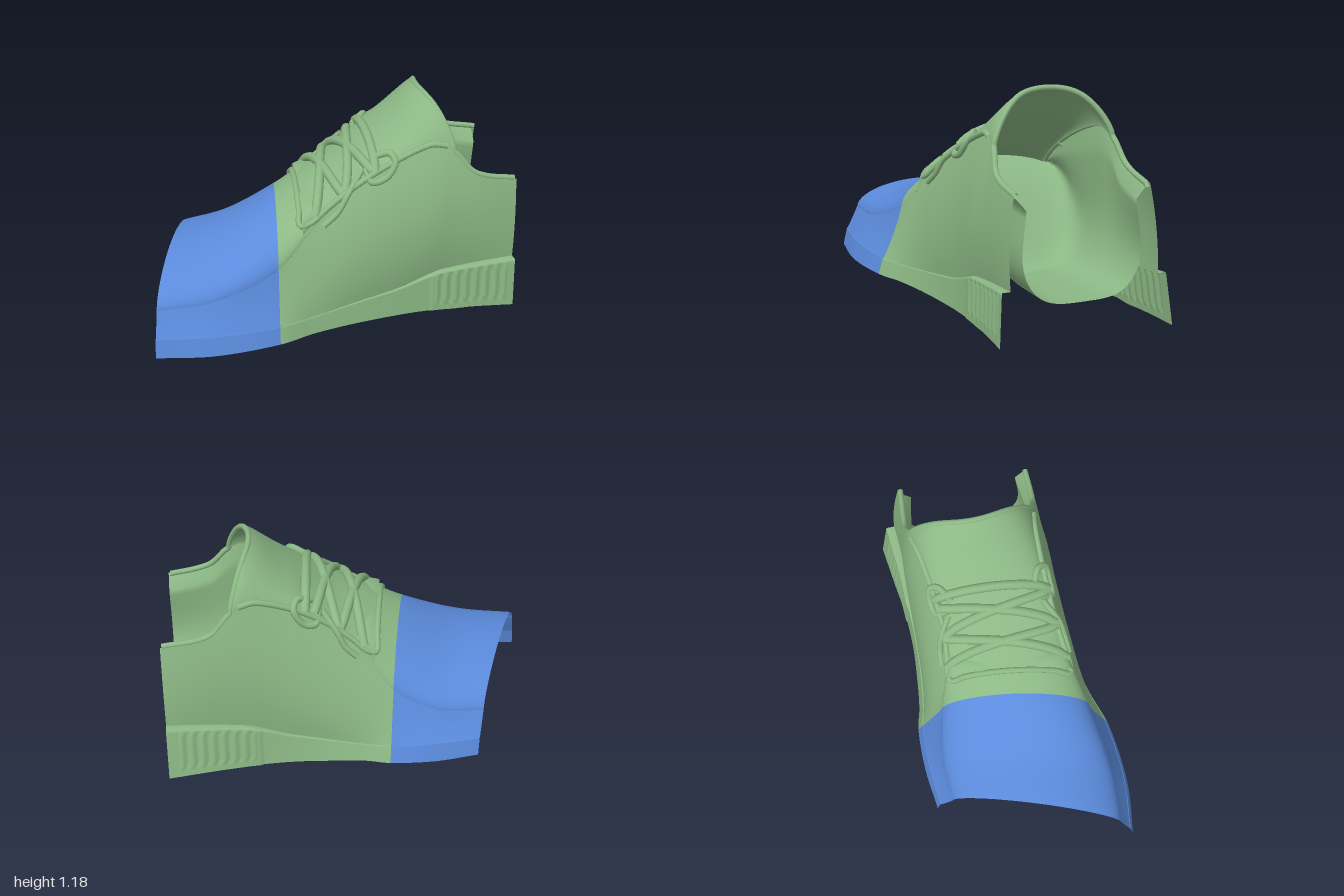
import * as THREE from 'three';

const GREEN = new THREE.MeshStandardMaterial({ color: 0x8cb885, side: THREE.DoubleSide });
const BLUE = new THREE.MeshStandardMaterial({ color: 0x5b8bdc, side: THREE.DoubleSide });
const { lerp, clamp, smoothstep } = THREE.MathUtils;

// Stations along the shoe, toe to heel; every track below has one value per station
const XS = [-0.82, -0.55, -0.26, -0.1, 0.1, 0.35, 0.55, 0.64, 0.75, 1.0];
const START = XS[0], SPLIT = -0.26;
const END = { 1: 0.975, '-1': 1.0 };

// Smooth (Hermite) track through the station values
function track(vals) {
  const slope = vals.map((_, i) => {
    const a = Math.max(i - 1, 0), b = Math.min(i + 1, vals.length - 1);
    return (vals[b] - vals[a]) / (XS[b] - XS[a]);
  });
  return (X) => {
    const x = clamp(X, START, 1);
    let i = 0;
    while (i < XS.length - 2 && x > XS[i + 1]) i++;
    const d = XS[i + 1] - XS[i], t = (x - XS[i]) / d, t2 = t * t, t3 = t2 * t;
    return vals[i] * (2 * t3 - 3 * t2 + 1) + vals[i + 1] * (3 * t2 - 2 * t3)
      + d * (slope[i] * (t3 - 2 * t2 + t) + slope[i + 1] * (t3 - t2));
  };
}

// Heights shared by both sides, and the thickness of the collar padding
const crest = track([0.44, 0.49, 0.635, 0.72, 0.82, 1.01, 1.185, 1.17, 1.1, 1.0]);
const collarY = track([0.27, 0.29, 0.4, 0.57, 0.74, 0.88, 0.95, 0.91, 0.79, 0.73]);
const soleTop = track([0.14, 0.13, 0.12, 0.12, 0.14, 0.18, 0.24, 0.25, 0.26, 0.28]);
const soleBottom = track([0.04, 0.03, 0.03, 0.03, 0.025, 0.02, 0.015, 0.01, 0.01, 0]);
const centreZ = track([0, 0, 0, -0.01, -0.02, -0.04, -0.06, -0.06, -0.06, -0.06]);
const ledge = track([0.004, 0.004, 0.004, 0.005, 0.008, 0.014, 0.026, 0.03, 0.035, 0.04]);
const padding = track([0.006, 0.006, 0.006, 0.006, 0.006, 0.01, 0.015, 0.025, 0.045, 0.07]);

// Half widths: base and top of the sole, middle of the wall, collar edge
const sides = {
  1: {
    base: track([0.505, 0.545, 0.52, 0.46, 0.41, 0.375, 0.365, 0.365, 0.37, 0.39]),
    sole: track([0.485, 0.52, 0.495, 0.442, 0.395, 0.365, 0.36, 0.36, 0.365, 0.38]),
    mid: track([0.452, 0.475, 0.432, 0.395, 0.375, 0.36, 0.355, 0.35, 0.35, 0.345]),
    collar: track([0.425, 0.44, 0.39, 0.33, 0.285, 0.265, 0.265, 0.285, 0.32, 0.325]),
  },
  '-1': {
    base: track([0.525, 0.55, 0.545, 0.515, 0.495, 0.48, 0.485, 0.49, 0.505, 0.535]),
    sole: track([0.505, 0.525, 0.515, 0.49, 0.47, 0.46, 0.465, 0.465, 0.47, 0.49]),
    mid: track([0.465, 0.478, 0.455, 0.44, 0.435, 0.44, 0.445, 0.445, 0.44, 0.435]),
    collar: track([0.435, 0.445, 0.4, 0.345, 0.315, 0.335, 0.37, 0.395, 0.41, 0.395]),
  },
};

// Sections lean obliquely towards the toe
const place = (X, y, z) => new THREE.Vector3(X - 0.35 * clamp((0.3 - X) / 1.1, 0, 1.02) * z, y, z);

// Side wall, v = 0 at the sole and 1 at the collar
function wallPoint(s, X, v, lift = 0) {
  const t = sides[s], y0 = soleTop(X), y1 = collarY(X);
  const a = t.sole(X) - ledge(X), m = t.mid(X), b = t.collar(X);
  const z = a * (1 - v) * (1 - 2 * v) + m * 4 * v * (1 - v) + b * v * (2 * v - 1);
  return place(X, lerp(y0, y1, v), s * (z + lift));
}

// Arched top from the +z collar (v = 0) to the -z collar (v = 1)
function topPoint(X, v, lift = 0) {
  const c = Math.cos(Math.PI * v), s = c >= 0 ? 1 : -1, z0 = centreZ(X);
  const half = Math.abs(s * sides[s].collar(X) - z0) + lift;
  const rise = Math.abs(Math.sin(Math.PI * v)) ** (1.15 + 0.25 * smoothstep(X, 0.3, 0.5));
  return place(X, collarY(X) + (crest(X) - collarY(X) + lift) * rise, z0 + half * c);
}
const tongueEnd = (v) => 0.53 + 0.11 * Math.cos(Math.PI * v) ** 2;

// Sole band: outer face with a raised, ribbed heel block, then a ledge to the wall
function solePoint(s, X, v) {
  const t = sides[s], y0 = soleBottom(X), y1 = soleTop(X);
  const a = t.base(X), b = t.sole(X);
  if (v === 1) return place(X, y1, s * (b - ledge(X)));
  const w = v / 0.95;
  const rib = X > 0.54 && X < 0.93 ? 0.005 * Math.cos((X - 0.54) * Math.PI * 2 / 0.055) : 0;
  const block = smoothstep(X, 0.5, 0.52) * 0.006;
  return place(X, lerp(y0, y1, w), s * (lerp(a, b, w) + block + (w > 0.2 && w < 0.9 ? rib : 0)));
}

// Lining pocket: padded collar, down one wall, across the footbed, up the other; closed in front
function liningPoint(X, v) {
  const c = Math.cos(Math.PI * v), s = c >= 0 ? 1 : -1, z0 = centreZ(X);
  const floor = lerp(crest(X) - 0.005, 0.18, smoothstep(X, -0.14, 0.42));
  const depth = Math.abs(Math.sin(Math.PI * v)) ** 0.6;
  const rim = sides[s].collar(X) - padding(X) * smoothstep(depth, 0, 0.12);
  const belly = sides[s].mid(X) - 0.045;
  const spread = smoothstep(X, -0.14, 0.2) * smoothstep(depth, 0.05, 0.75);
  const half = lerp(rim, belly, spread) - s * z0;
  return place(X, lerp(collarY(X), floor, depth), z0 + s * half * Math.abs(c) ** 0.55);
}

// Surface mesh from a rule over the unit square
function sheet(name, material, nu, nv, fn) {
  const pos = [], index = [];
  for (let i = 0; i <= nu; i++) for (let j = 0; j <= nv; j++) {
    pos.push(...fn(i / nu, j / nv).toArray());
    if (i < nu && j < nv) {
      const a = i * (nv + 1) + j, b = a + nv + 1;
      index.push(a, b, a + 1, b, b + 1, a + 1);
    }
  }
  const geo = new THREE.BufferGeometry();
  geo.setAttribute('position', new THREE.Float32BufferAttribute(pos, 3));
  geo.setIndex(index);
  geo.computeVertexNormals();
  const mesh = new THREE.Mesh(geo, material);
  mesh.name = name;
  return mesh;
}

function cord(name, points, radius) {
  const curve = new THREE.CatmullRomCurve3(points);
  const mesh = new THREE.Mesh(new THREE.TubeGeometry(curve, points.length * 6, radius, 10), GREEN);
  mesh.name = name;
  return mesh;
}

const steps = (n, fn) => Array.from({ length: n + 1 }, (_, i) => fn(i / n));

export function createModel() {
  const model = new THREE.Group();

  // Toe cap and rear upper, each with walls and sole bands on both sides
  for (const s of [1, -1]) {
    const side = s > 0 ? 'Front' : 'Back';
    for (const [label, mat, from, to] of [['toe', BLUE, START, SPLIT], ['rear', GREEN, SPLIT, END[s]]]) {
      model.add(sheet(`${label}Wall${side}`, mat, 60, 14, (u, v) => wallPoint(s, lerp(from, to, u), v)));
      model.add(sheet(`${label}Sole${side}`, mat, 180, 20, (u, v) => solePoint(s, lerp(from, to, u), v)));
    }
  }
  model.add(sheet('toeTop', BLUE, 40, 48, (u, v) => topPoint(lerp(START, SPLIT, u), v)));
  model.add(sheet('tongue', GREEN, 50, 48, (u, v) => topPoint(lerp(SPLIT, tongueEnd(v), u), v)));

  // Inner face of the tongue, and the inner pocket with footbed
  model.add(sheet('tongueLining', GREEN, 40, 48, (u, v) => topPoint(lerp(-0.1, tongueEnd(v), u), v, -0.025)));
  model.add(sheet('lining', GREEN, 50, 90, (u, v) => liningPoint(lerp(-0.14, END[1], u), v)));

  // Rolled rim along both collars and over the tongue
  const rim = [
    ...steps(10, (t) => wallPoint(1, lerp(END[1] - 0.01, 0.66, t), 1, -0.012)),
    ...steps(16, (t) => topPoint(tongueEnd(t), t, -0.012)),
    ...steps(10, (t) => wallPoint(-1, lerp(0.66, END[-1] - 0.01, t), 1, -0.012)),
  ];
  model.add(cord('collarRim', rim, 0.015));

  // Raised border around the lacing
  const border = [
    ...steps(9, (t) => topPoint(lerp(0.6, -0.1, t), lerp(0.03, 0.1, t), 0.004)),
    ...steps(6, (t) => topPoint(-0.15, lerp(0.16, 0.84, t), 0.006)),
    ...steps(9, (t) => topPoint(lerp(-0.1, 0.6, t), lerp(0.9, 0.97, t), 0.004)),
  ];
  model.add(cord('eyeletBorder', border, 0.016));

  // Laces: two crossings and a band across the top
  const lace = (a, va, b, vb) => cord('lace', steps(8, (t) =>
    topPoint(lerp(a, b, t), lerp(va, vb, t), 0.01 + 0.012 * Math.sin(Math.PI * t))), 0.025);
  for (const x of [-0.08, 0.07]) {
    model.add(lace(x, 0.12, x + 0.14, 0.89), lace(x + 0.14, 0.11, x, 0.88));
  }
  model.add(lace(0.22, 0.08, 0.26, 0.92));

  // Drooping loop and loose lace end on each side
  for (const s of [1, -1]) {
    const at = (x, v) => topPoint(x, s > 0 ? v : 1 - v, 0.015);
    model.add(cord('laceLoop', [at(0.22, 0.25), at(0.3, 0.18), at(0.32, 0.06),
      wallPoint(s, 0.27, 0.95, 0.008), wallPoint(s, 0.2, 0.98, 0.008), at(0.18, 0.2)], 0.018));
    model.add(cord('laceEnd', [at(0.16, 0.2), at(0.08, 0.05), wallPoint(s, 0.03, 0.94, 0.008),
      wallPoint(s, -0.04, 0.93, 0.004)], 0.016));
  }
  return model;
}
